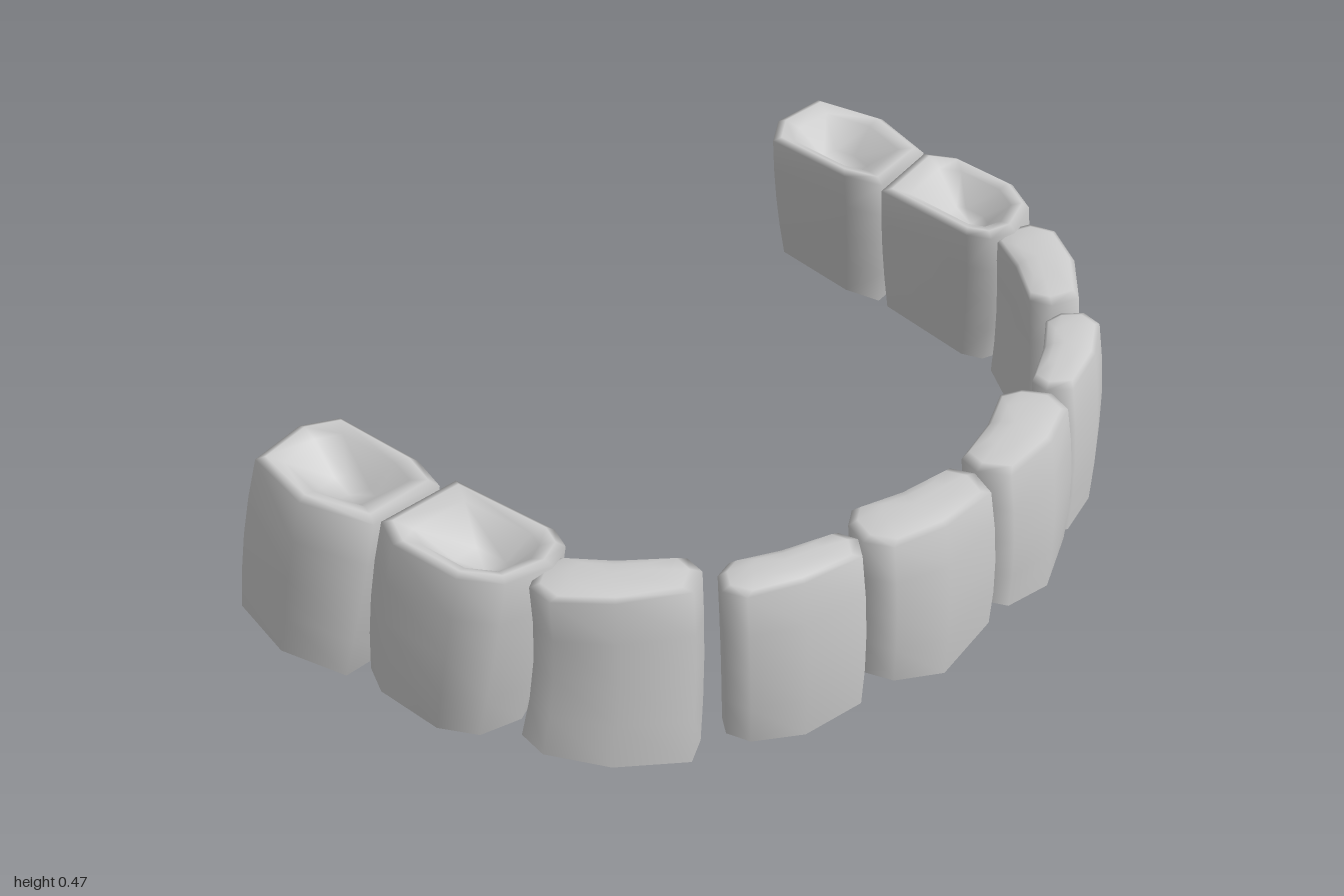
import * as THREE from 'three';

// Unit sections: u runs back along the arch, n points out of it.
const BLADE = [[-1, 0], [-0.86, -0.65], [-0.05, -0.8], [0.63, -1.2], [0.88, -0.8],
  [1, 0], [0.8, 0.75], [0.05, 1.1], [-0.85, 0.9]];
const BLOCK = [[-0.59, -1], [0.85, -0.88], [0.97, 0.7], [0.59, 1],
  [-0.35, 0.96], [-0.82, 0.54], [-1, -0.3], [-0.88, -0.8]];
const ROUND_BLOCK = [[-0.47, -1], [0.75, -0.97], [1, -0.38], [0.93, 0.7],
  [0, 1], [-0.9, 0.62], [-0.97, -0.77]];

// Crown: [scale, rise] of rings shrinking towards the centre, and the rise of the centre
const DOMED = { rings: [[0.86, 0.008], [0.5, 0.014]], peak: 0.015 };
const HOLLOW = { rings: [[0.88, 0.01], [0.68, 0], [0.3, -0.055]], peak: -0.065 };

// at: centre x, z; half: half length along u and n; top, base: [scale, shift u, shift n];
// rim: biting edge height and slope over z; foot: lower edge height, slope over u, rise of ends
const TEETH = {
  CentralIncisor: {
    section: BLADE, crown: DOMED, at: [0.165, 0.522], turn: 0.12, half: [0.166, 0.075],
    top: [0.97, 0, -0.014], base: [0.98, 0, -0.006], rim: [0.405, 0], foot: [0.04, 0, 0.048],
  },
  LateralIncisor: {
    section: BLADE, crown: DOMED, at: [0.473, 0.438], turn: 0.34, half: [0.158, 0.058],
    top: [0.98, 0, -0.014], base: [0.97, 0, -0.006], rim: [0.407, 0], foot: [0.035, 0.006, 0.02],
  },
  Canine: {
    section: BLADE, crown: DOMED, at: [0.718, 0.2], turn: 0.75, half: [0.166, 0.069],
    top: [1, 0, -0.008], base: [1.06, 0.02, 0.003], rim: [0.41, 0], foot: [0.018, 0.03, 0.01],
  },
  FrontMolar: {
    section: BLOCK, crown: HOLLOW, at: [0.835, -0.1], turn: Math.PI / 2, half: [0.17, 0.12],
    top: [1, -0.015, -0.03], base: [0.9, 0.02, 0.022], rim: [0.43, -0.06], foot: [0.077, 0.023, 0],
  },
  BackMolar: {
    section: ROUND_BLOCK, crown: HOLLOW, at: [0.858, -0.43], turn: Math.PI / 2, half: [0.17, 0.125],
    top: [1, -0.018, -0.035], base: [0.9, 0.022, 0.03], rim: [0.42, -0.075], foot: [0.095, 0.025, 0],
  },
};

const STEPS = 4;

function toothGeometry({ section, crown, at, turn, half, top, base, rim, foot }, side) {
  const cos = Math.cos(turn), sin = Math.sin(turn);
  const count = section.length;

  // Walls: a smooth curve through base, widest section and biting edge
  const rings = [];
  for (let s = 0; s <= STEPS; s++) {
    const t = s / STEPS;
    const wBase = (1 - t) * (1 - 2 * t), wMid = 4 * t * (1 - t), wTop = t * (2 * t - 1);
    const [scale, du, dn] = [1, 0, 0].map((mid, k) => base[k] * wBase + mid * wMid + top[k] * wTop);
    rings.push(section.map(([u, n]) => {
      const along = u * half[0] * scale + du;
      const out = n * half[1] * scale + dn;
      const z = at[1] - along * sin + out * cos;
      const low = foot[0] + foot[1] * u + foot[2] * Math.min(1, Math.abs(u) + Math.max(0, -n));
      const y = THREE.MathUtils.lerp(low, rim[0] + rim[1] * z, t);
      return new THREE.Vector3(at[0] + along * cos + out * sin, y, z);
    }));
  }

  // Biting surface: domed or hollow, closed by one centre point
  const edge = rings[STEPS];
  const centre = edge.reduce((sum, p) => sum.add(p), new THREE.Vector3()).divideScalar(count);
  const inset = (p, scale, rise) => {
    const q = centre.clone().lerp(p, scale);
    q.y += rise;
    return q;
  };
  for (const [scale, rise] of crown.rings) rings.push(edge.map((p) => inset(p, scale, rise)));
  const points = [...rings.flat(), inset(centre, 0, crown.peak)];

  // Faces share their corners, so the whole tooth shades smoothly; the root end is open
  const index = [];
  const triangle = (a, b, c) => index.push(...(side > 0 ? [a, b, c] : [a, c, b]));
  const lastRing = rings.length - 1;
  for (let i = 0; i < count; i++) {
    const j = (i + 1) % count;
    for (let r = 0; r < lastRing; r++) {
      const lo = r * count, hi = lo + count;
      triangle(lo + j, lo + i, hi + i);
      triangle(lo + j, hi + i, hi + j);
    }
    triangle(lastRing * count + j, lastRing * count + i, points.length - 1);
  }
  const geometry = new THREE.BufferGeometry();
  const positions = points.flatMap((p) => [p.x * side, p.y, p.z]);
  geometry.setAttribute('position', new THREE.Float32BufferAttribute(positions, 3));
  geometry.setIndex(index);
  geometry.computeVertexNormals();
  return geometry;
}

export function createModel() {
  const model = new THREE.Group();
  model.name = 'lowerDentalArch';
  const material = new THREE.MeshStandardMaterial({ color: 0xcccccc, side: THREE.DoubleSide });

  // Five teeth on each side, mirrored
  for (const [side, label] of [[1, 'left'], [-1, 'right']]) {
    const row = new THREE.Group();
    row.name = `${label}Teeth`;
    for (const [name, tooth] of Object.entries(TEETH)) {
      const mesh = new THREE.Mesh(toothGeometry(tooth, side), material);
      mesh.name = label + name;
      row.add(mesh);
    }
    model.add(row);
  }
  return model;
}
